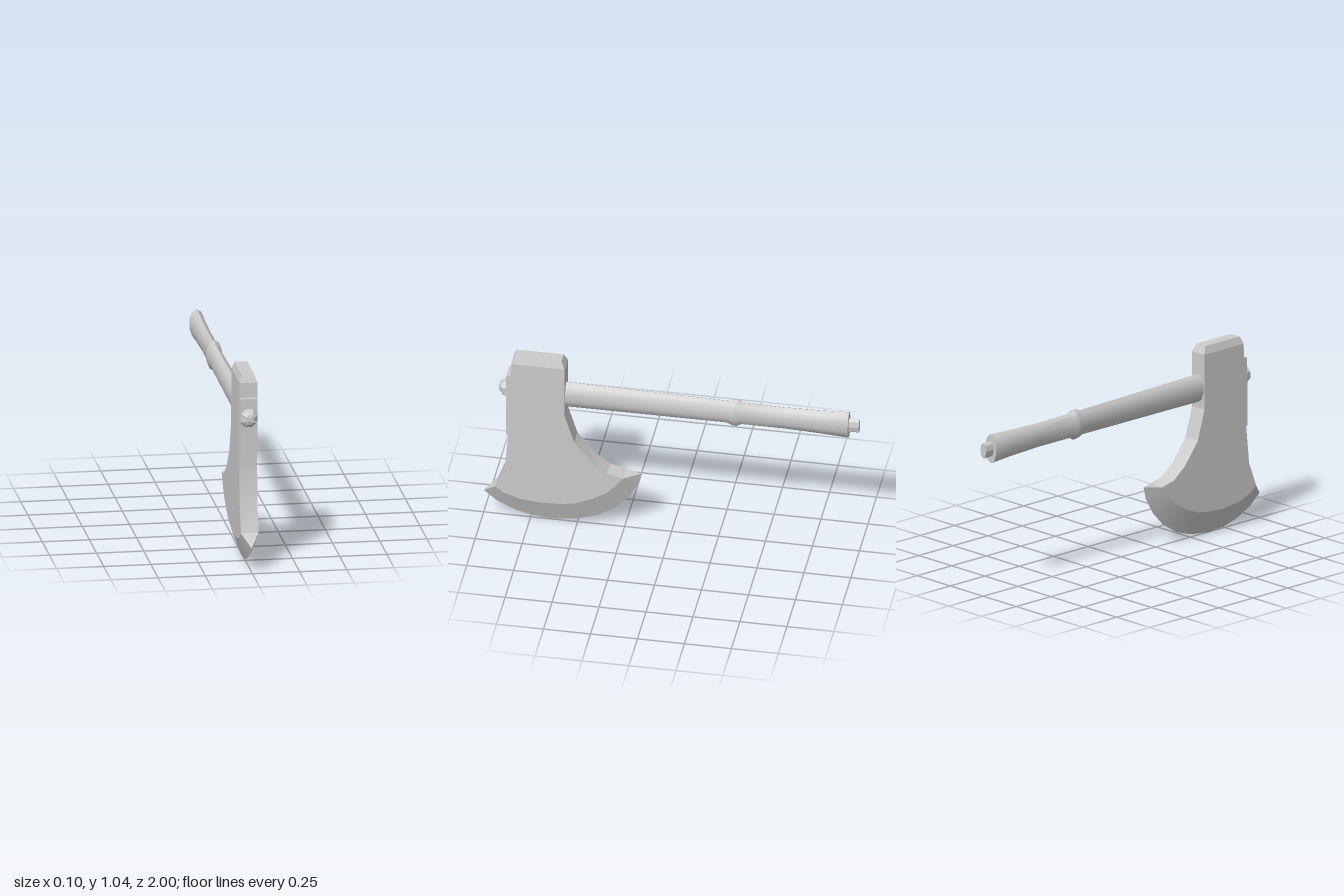
import * as THREE from 'three';
import { toCreasedNormals } from 'three/addons/utils/BufferGeometryUtils.js';

const W = 0.047; // half thickness of the head

// Profiles as [z, y], from the front end to the rear end
const bevelLine = [[0.93, 0.205], [0.89, 0.172], [0.8, 0.14], [0.685, 0.13], [0.58, 0.135], [0.5, 0.15],
  [0.41, 0.19], [0.34, 0.235], [0.295, 0.28], [0.272, 0.31], [0.25, 0.34]];
const cuttingEdge = [[1, 0.14], [0.93, 0.082], [0.83, 0.035], [0.74, 0.012], [0.63, 0.003], [0.5, 0.02],
  [0.395, 0.055], [0.3, 0.115], [0.225, 0.195], [0.175, 0.285], [0.16, 0.35]];
const rearSide = [[0.335, 0.36], [0.415, 0.42], [0.51, 0.54], [0.56, 0.7], [0.56, 1]];
const frontSide = [[0.845, 1], [0.86, 0.55], [0.88, 0.34]];

function headGeometry() {
  const pos = [];
  const at = (x, [z, y]) => [x, y, z];
  const tri = (a, b, c) => pos.push(...a, ...b, ...c);
  const quad = (a, b, c, d) => { tri(a, b, c); tri(a, c, d); };

  // Flat cheeks
  const loop = [...bevelLine, ...rearSide, ...frontSide];
  const contour = loop.map(([z, y]) => new THREE.Vector2(-z, y));
  for (const [a, b, c] of THREE.ShapeUtils.triangulateShape(contour, [])) {
    tri(at(W, loop[a]), at(W, loop[b]), at(W, loop[c]));
    tri(at(-W, loop[c]), at(-W, loop[b]), at(-W, loop[a]));
  }

  // Front and rear walls; the top is closed by the chamfered cap
  const last = bevelLine.length - 1;
  const topStart = last + rearSide.length;
  for (let i = last; i < loop.length; i++) {
    if (i === topStart) continue;
    const p = loop[i], q = loop[(i + 1) % loop.length];
    quad(at(W, p), at(-W, p), at(-W, q), at(W, q));
  }

  // Sharpened bevels meeting at the cutting edge
  for (let i = 0; i < last; i++) {
    const e = at(0, cuttingEdge[i]), f = at(0, cuttingEdge[i + 1]);
    quad(e, f, at(W, bevelLine[i + 1]), at(W, bevelLine[i]));
    quad(f, e, at(-W, bevelLine[i]), at(-W, bevelLine[i + 1]));
  }
  tri(at(-W, bevelLine[0]), at(0, cuttingEdge[0]), at(W, bevelLine[0]));
  tri(at(W, bevelLine[last]), at(0, cuttingEdge[last]), at(-W, bevelLine[last]));

  // Chamfered top
  const ring = (w, y, z0, z1) => [[w, y, z1], [w, y, z0], [-w, y, z0], [-w, y, z1]];
  const low = ring(W, 1, 0.56, 0.845), high = ring(0.033, 1.04, 0.58, 0.83);
  for (let i = 0; i < 4; i++) {
    const j = (i + 1) % 4;
    quad(low[i], low[j], high[j], high[i]);
  }
  quad(...high);

  const g = new THREE.BufferGeometry();
  g.setAttribute('position', new THREE.Float32BufferAttribute(pos, 3));
  return toCreasedNormals(g, 0.3);
}

// Oval grip turned along z; profile points are [radius, z]
function handleGeometry() {
  const profile = [[0, -0.945], [0.08, -0.945], [0.072, -0.8], [0.066, -0.6], [0.068, -0.375],
    [0.083, -0.35], [0.083, -0.33], [0.068, -0.3], [0.077, 0.55], [0.077, 0.8], [0, 0.8]];
  const g = new THREE.LatheGeometry(profile.map(([r, z]) => new THREE.Vector2(r, z)), 10);
  g.rotateX(Math.PI / 2);
  g.scale(0.52, 1, 1);
  return toCreasedNormals(g, 0.75);
}

export function createModel() {
  const model = new THREE.Group();
  model.name = 'axe';
  const grey = new THREE.MeshStandardMaterial({ color: 0xcccccc });
  const flat = new THREE.MeshStandardMaterial({ color: 0xcccccc, flatShading: true, side: THREE.DoubleSide });
  const add = (parent, name, geometry, material = grey) => {
    const mesh = new THREE.Mesh(geometry, material);
    mesh.name = name;
    parent.add(mesh);
    return mesh;
  };

  // Head leans very slightly sideways
  const head = new THREE.Group();
  head.name = 'head';
  head.rotation.z = -0.0075;
  head.position.x = -0.005;
  model.add(head);
  add(head, 'blade', headGeometry());
  add(head, 'frontPlate', new THREE.BoxGeometry(0.09, 0.375, 0.05)).position.set(0, 0.732, 0.847);

  // Slotted screw: two half domes over a core
  const screw = new THREE.Group();
  screw.name = 'screw';
  screw.position.set(0, 0.817, 0.872);
  screw.rotation.z = -0.45;
  model.add(screw);
  for (const s of [1, -1]) {
    const half = new THREE.Group();
    half.name = 'screwHalf';
    half.rotation.z = s > 0 ? 0 : Math.PI;
    screw.add(half);
    const dome = new THREE.SphereGeometry(0.048, 4, 3, 0, Math.PI, 0, Math.PI / 2);
    dome.rotateX(Math.PI / 2);
    dome.rotateZ(Math.PI); // curved side towards +y
    add(half, 'dome', dome, flat).position.y = 0.005;
    const wall = new THREE.CircleGeometry(0.048, 6, 0, Math.PI);
    wall.rotateX(Math.PI / 2);
    add(half, 'slotWall', wall, flat).position.y = 0.005;
  }
  const core = new THREE.CylinderGeometry(0.044, 0.044, 0.03, 8);
  core.rotateX(Math.PI / 2);
  add(screw, 'screwCore', core, flat).position.z = 0.008;

  // Handle with end peg, dipping slightly to the rear
  const handle = new THREE.Group();
  handle.name = 'handle';
  handle.position.y = 0.807;
  handle.rotation.x = -0.007;
  model.add(handle);
  add(handle, 'grip', handleGeometry());
  const peg = new THREE.CylinderGeometry(0.042, 0.042, 0.1, 8);
  peg.rotateX(Math.PI / 2);
  peg.scale(0.52, 1, 1);
  add(handle, 'endPeg', peg, flat).position.z = -0.95;

  return model;
}
